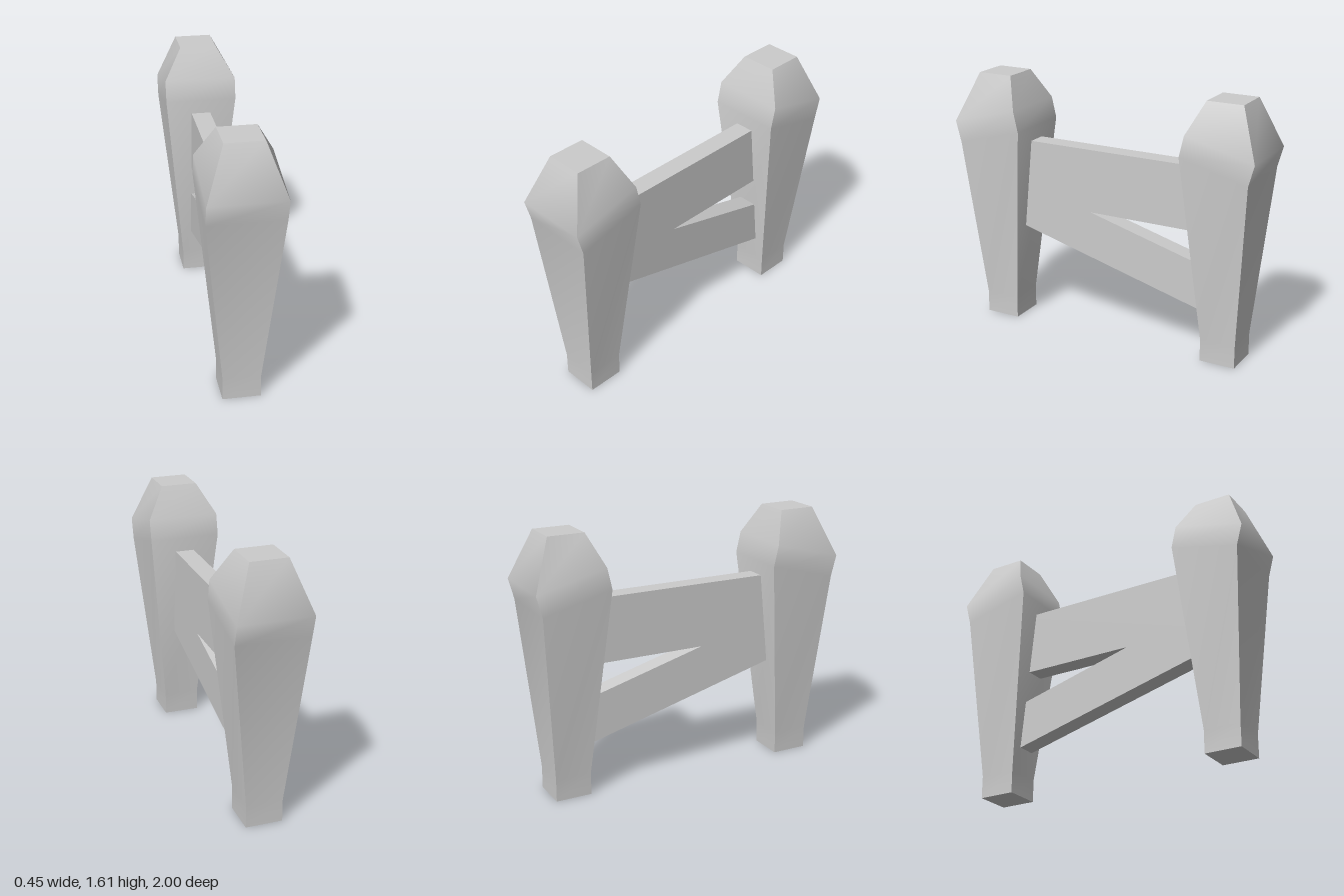
import * as THREE from 'three';
import { toCreasedNormals } from 'three/addons/utils/BufferGeometryUtils.js';

const material = new THREE.MeshStandardMaterial({ color: 0xcccccc });

// Tapered four-sided post lofted through tilted rings:
// [half width, outer z, outer y, inner z, inner y]
function postGeometry() {
  const rings = [
    [0.113, 0.88, 0, 0.655, 0],
    [0.113, 0.88, 0.14, 0.655, 0.14],
    [0.223, 0.965, 1.18, 0.54, 1.29],
    [0.223, 1.0, 1.31, 0.57, 1.42],
    [0.113, 0.88, 1.61, 0.655, 1.61],
  ];
  const positions = [];
  for (const [w, zo, yo, zi, yi] of rings) {
    positions.push(-w, yo, zo, w, yo, zo, w, yi, zi, -w, yi, zi);
  }
  const index = [];
  const quad = (a, b, c, d) => index.push(a, b, c, a, c, d);
  for (let r = 0; r < rings.length - 1; r++) {
    for (let i = 0; i < 4; i++) {
      const j = (i + 1) % 4;
      quad(r * 4 + i, r * 4 + j, r * 4 + 4 + j, r * 4 + 4 + i);
    }
  }
  const top = (rings.length - 1) * 4;
  quad(top, top + 1, top + 2, top + 3);
  quad(3, 2, 1, 0);
  const geometry = new THREE.BufferGeometry();
  geometry.setAttribute('position', new THREE.Float32BufferAttribute(positions, 3));
  geometry.setIndex(index);
  // Soft along each side, sharp at the corners and ends
  return toCreasedNormals(geometry, 0.9);
}

// Flat rail cut from a side outline of [z, y] points
function rail(name, outline, width = 0.12) {
  const shape = new THREE.Shape(outline.map(([z, y]) => new THREE.Vector2(z, y)));
  const geometry = new THREE.ExtrudeGeometry(shape, { depth: width, bevelEnabled: false });
  geometry.translate(0, 0, -width / 2).rotateY(-Math.PI / 2);
  const mesh = new THREE.Mesh(geometry, material);
  mesh.name = name;
  return mesh;
}

export function createModel() {
  const model = new THREE.Group();
  model.name = 'fenceSection';

  // Matching posts at both ends
  const geometry = postGeometry();
  ['frontPost', 'backPost'].forEach((name, i) => {
    const post = new THREE.Mesh(geometry, material);
    post.name = name;
    post.rotation.y = i * Math.PI;
    model.add(post);
  });

  // Level upper rail, ends buried in the posts
  model.add(rail('upperRail', [[0.65, 0.8], [0.65, 1.2], [-0.65, 1.2], [-0.65, 0.8]]));

  // Slanted brace meeting the underside of the upper rail
  model.add(rail('slantedBrace', [
    [0.7, 0.8], [0.13, 0.8], [-0.7, 0.575], [-0.7, 0.285], [0.7, 0.657],
  ]));

  return model;
}
